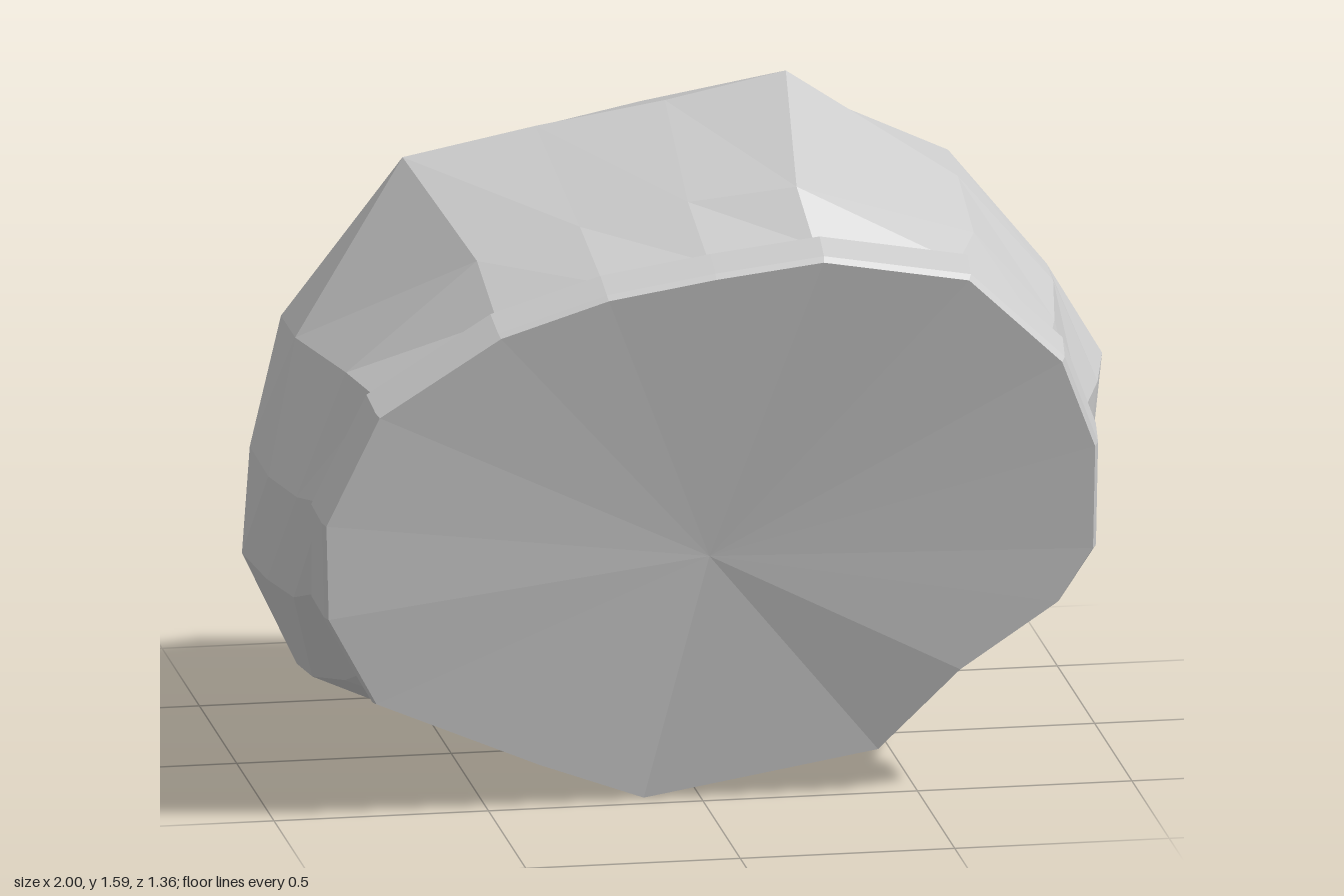
import * as THREE from 'three';

const material = new THREE.MeshStandardMaterial({ color: 0xcccccc, flatShading: true, side: THREE.DoubleSide });

// Mesh from a list of triangles, each holding three [x, y, z] corners
function facetMesh(name, tris) {
  const geo = new THREE.BufferGeometry();
  geo.setAttribute('position', new THREE.Float32BufferAttribute(tris.flat(2), 3));
  geo.computeVertexNormals();
  const mesh = new THREE.Mesh(geo, material);
  mesh.name = name;
  return mesh;
}

// Skin between successive rings, front to back
function skin(...rings) {
  const tris = [];
  for (let r = 0; r + 1 < rings.length; r++) {
    const a = rings[r], b = rings[r + 1];
    a.forEach((p, i) => {
      const j = (i + 1) % a.length;
      tris.push([p, b[i], b[j]], [p, b[j], a[j]]);
    });
  }
  return tris;
}

const fan = (c, pts) => pts.slice(1).map((p, i) => [c, pts[i], p]);

// Piecewise linear lookup through [y, z] stops
function depthAt(stops, y) {
  for (let i = 1; i < stops.length; i++) {
    const [y0, z0] = stops[i - 1], [y1, z1] = stops[i];
    if (y <= y1 || i === stops.length - 1) return z0 + (z1 - z0) * (y - y0) / (y1 - y0);
  }
}

// Outline of the front face, counter-clockwise from the bottom
const outline = [
  [-0.13, 0.01], [0.41, 0.11], [0.59, 0.31], [0.81, 0.47], [0.89, 0.6], [0.89, 0.85],
  [0.81, 1.06], [0.59, 1.27], [0.25, 1.33], [0, 1.3], [-0.25, 1.26], [-0.5, 1.18],
  [-0.78, 1.0], [-0.9, 0.74], [-0.89, 0.51], [-0.77, 0.29], [-0.38, 0.11],
];
const frontZ = [[0, 0.45], [0.28, 0.55], [0.5, 0.6], [0.85, 0.64], [1.3, 0.68]];
const backZ = [[0, 0.37], [0.3, 0.39], [0.5, 0.47], [0.8, 0.54], [1.1, 0.575], [1.35, 0.6]];
const rimRing = (scale, lift, stops, dz) => outline.map(([x, y]) =>
  [x * scale, Math.max(0, 0.62 + (y - 0.62) * scale + lift), depthAt(stops, y) + dz]);

// Body cross-sections: behind the rim, widest girth, and edge of the hollowed back
const shoulder = [
  [-0.1, 0.09, 0.32], [0.38, 0.14, 0.29], [0.58, 0.31, 0.29], [0.8, 0.46, 0.32], [0.9, 0.6, 0.36], [0.9, 0.87, 0.42],
  [0.83, 1.1, 0.44], [0.64, 1.32, 0.45], [0.22, 1.46, 0.49], [-0.03, 1.43, 0.47], [-0.28, 1.38, 0.46], [-0.52, 1.31, 0.46],
  [-0.82, 1.05, 0.43], [-0.93, 0.75, 0.4], [-0.93, 0.5, 0.36], [-0.8, 0.28, 0.3], [-0.42, 0.12, 0.28],
];
const girth = [
  [-0.1, 0.08, -0.18], [0.35, 0.15, -0.12], [0.56, 0.28, 0.03], [0.8, 0.42, 0.15], [0.94, 0.6, 0.23], [0.96, 0.9, 0.27],
  [0.86, 1.14, 0.25], [0.65, 1.38, 0.18], [0.28, 1.6, 0], [0, 1.54, -0.01], [-0.3, 1.49, -0.02], [-0.61, 1.43, -0.02],
  [-0.89, 1.06, 0.15], [-0.97, 0.76, 0.25], [-0.97, 0.51, 0.23], [-0.85, 0.25, 0.15], [-0.58, 0.12, 0.1],
];
const K = [
  [-0.16, 0.12, -0.38], [0.28, 0.24, -0.47], [0.54, 0.28, -0.18], [0.8, 0.42, -0.06], [0.97, 0.6, 0.03], [1, 0.92, 0.1],
  [0.87, 1.14, 0.1], [0.66, 1.39, -0.01], [0.3, 1.51, -0.25], [0, 1.45, -0.33], [-0.3, 1.38, -0.36], [-0.6, 1.3, -0.27],
  [-0.89, 1.06, -0.04], [-0.98, 0.78, 0.06], [-1, 0.53, 0.07], [-0.86, 0.24, 0], [-0.6, 0.12, -0.09],
];
// Rear ridge from top to bottom, and the foot of the crease beside it
const ridge = [[-0.08, 1.13, -0.6], [0.01, 0.82, -0.68], [0.09, 0.47, -0.68], K[1], [0.08, 0.14, -0.47]];
const crease = [0.37, 0.27, -0.36];

export function createModel() {
  const group = new THREE.Group();
  group.name = 'lowPolyForm';

  const front = rimRing(1, 0, frontZ, 0);
  const lip = rimRing(1.01, 0.005, frontZ, -0.012);
  const rimBack = rimRing(1.02, 0.025, backZ, 0);
  const groove = rimRing(0.985, 0.025, backZ, -0.015);

  // Front face, slightly dished towards its centre
  group.add(facetMesh('frontFace', fan([0.01, 0.6, 0.53], [...front, front[0]])));
  group.add(facetMesh('rim', skin(front, lip, rimBack, groove)));
  group.add(facetMesh('body', skin(groove, shoulder, girth, K)));

  // Left hollow, strips running from upper edge to lower edge
  const left = [[K[5], K[4], K[6]]];
  for (const [u, l] of [[6, 4], [7, 3]])
    left.push([K[u], K[l], K[l - 1]], [K[u], K[l - 1], K[u + 1]]);
  left.push([K[8], K[2], crease], [K[1], crease, K[2]]);
  group.add(facetMesh('leftHollow', left));

  // Right hollow
  const right = [];
  for (const [u, l] of [[13, 14], [12, 15], [11, 16]]) {
    const low = K[(l + 1) % K.length];
    right.push([K[u - 1], low, K[l]], [K[u - 1], K[l], K[u]]);
  }
  group.add(facetMesh('rightHollow', right));

  // Ridge with its two flanks, top slope and underside
  const [r0, r1, r2, r3, r4] = ridge;
  group.add(facetMesh('rearRidge', [
    ...fan(crease, [r3, r2, r1, r0, K[9], K[8]]),
    ...fan(K[0], [K[10], r0, r1, r2, r4, r3]),
    [r2, r3, r4], [K[9], r0, K[10]],
  ]));
  return group;
}
